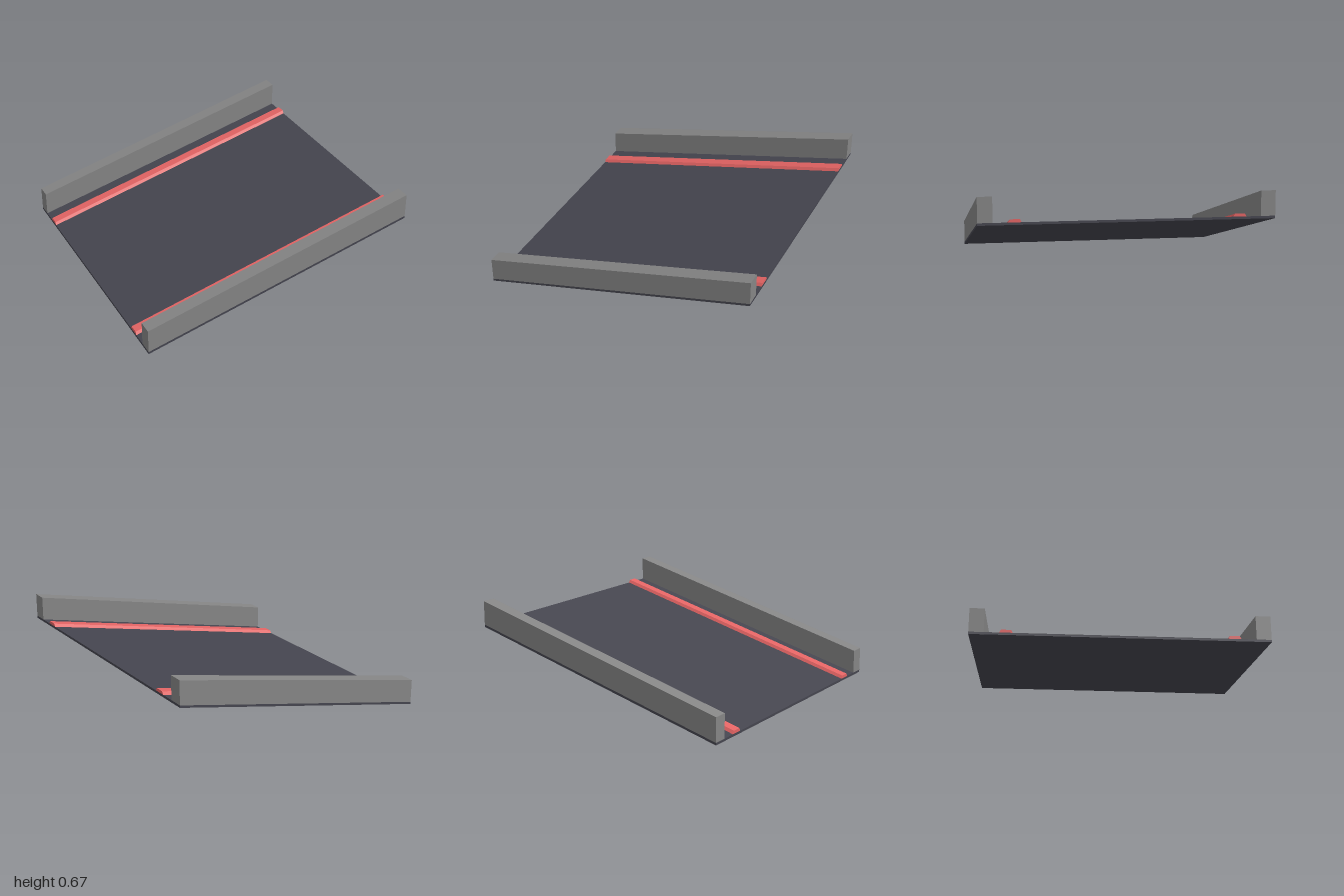
import * as THREE from 'three';

const SLOPE = 0.2415; // rise per unit of x
const DECK = 0.017;   // deck thickness

// Sweeps a (z, y) cross-section along x and shears it up the slope, keeping the ends vertical
function slopedBar(name, profile, color) {
  const shape = new THREE.Shape(profile.map(([z, y]) => new THREE.Vector2(z, y)));
  const geo = new THREE.ExtrudeGeometry(shape, { depth: 2, bevelEnabled: false });
  geo.rotateY(-Math.PI / 2).translate(1, 0, 0);
  const pos = geo.attributes.position;
  for (let i = 0; i < pos.count; i++) {
    pos.setY(i, pos.getY(i) + SLOPE * (pos.getX(i) + 1));
  }
  geo.computeVertexNormals();
  const mesh = new THREE.Mesh(geo, new THREE.MeshStandardMaterial({ color, flatShading: true }));
  mesh.name = name;
  return mesh;
}

export function createModel() {
  const model = new THREE.Group();
  model.name = 'roadRamp';

  // Thin road deck
  model.add(slopedBar('deck', [[-1, 0], [1, 0], [1, DECK], [-1, DECK]], 0x45454f));

  for (const [label, s] of [['front', 1], ['back', -1]]) {
    // Side wall standing on the deck edge
    model.add(slopedBar(label + 'Wall',
      [[s * 0.9, DECK], [s, DECK], [s, 0.19], [s * 0.9, 0.19]], 0x858585));
    // Raised lane strip with chamfered sides
    model.add(slopedBar(label + 'Strip',
      [[s * 0.71, DECK], [s * 0.8, DECK], [s * 0.788, 0.038], [s * 0.722, 0.038]], 0xe46464));
  }
  return model;
}
